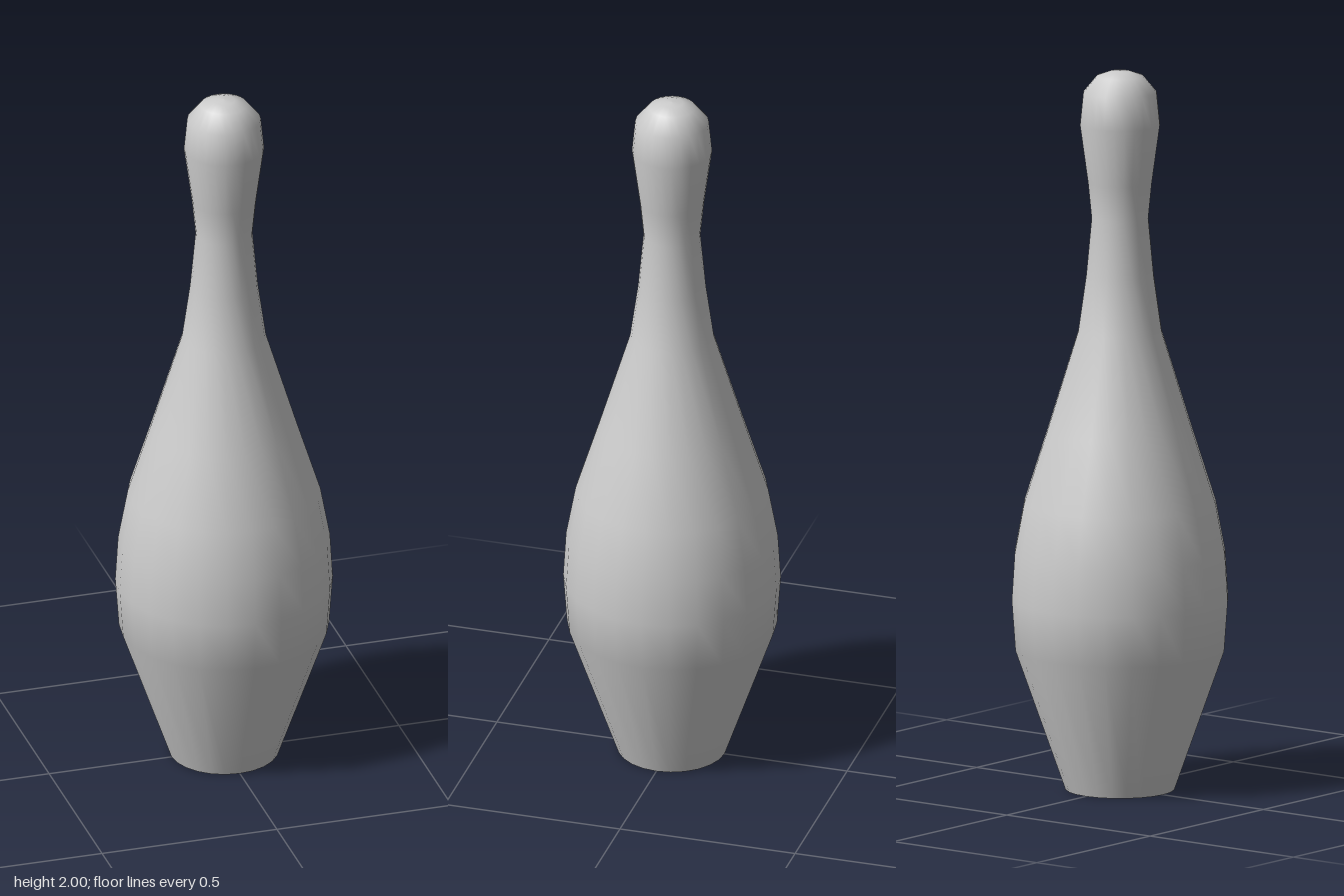
import * as THREE from 'three';

const SIDES = 24;

// Half outline from base rim to crown: [radius, height]
const PROFILE = [
  [0.15, 0], [0.288, 0.39], [0.298, 0.53], [0.29, 0.66], [0.264, 0.8],
  [0.2, 1.0], [0.115, 1.275], [0.093, 1.43], [0.078, 1.59], [0.088, 1.69],
  [0.11, 1.85], [0.101, 1.94], [0.064, 1.985], [0.03, 1.997], [0, 2],
];

export function createModel() {
  const group = new THREE.Group();
  group.name = 'bowlingPin';
  const material = new THREE.MeshStandardMaterial({ color: 0xcccccc });

  // Smooth turned body
  const points = PROFILE.map(([r, y]) => new THREE.Vector2(r, y));
  const body = new THREE.Mesh(new THREE.LatheGeometry(points, SIDES), material);
  body.name = 'body';
  group.add(body);

  // Flat underside with a sharp rim
  const base = new THREE.Mesh(new THREE.CircleGeometry(PROFILE[0][0], SIDES), material);
  base.rotation.x = Math.PI / 2;
  base.name = 'base';
  group.add(base);

  return group;
}
